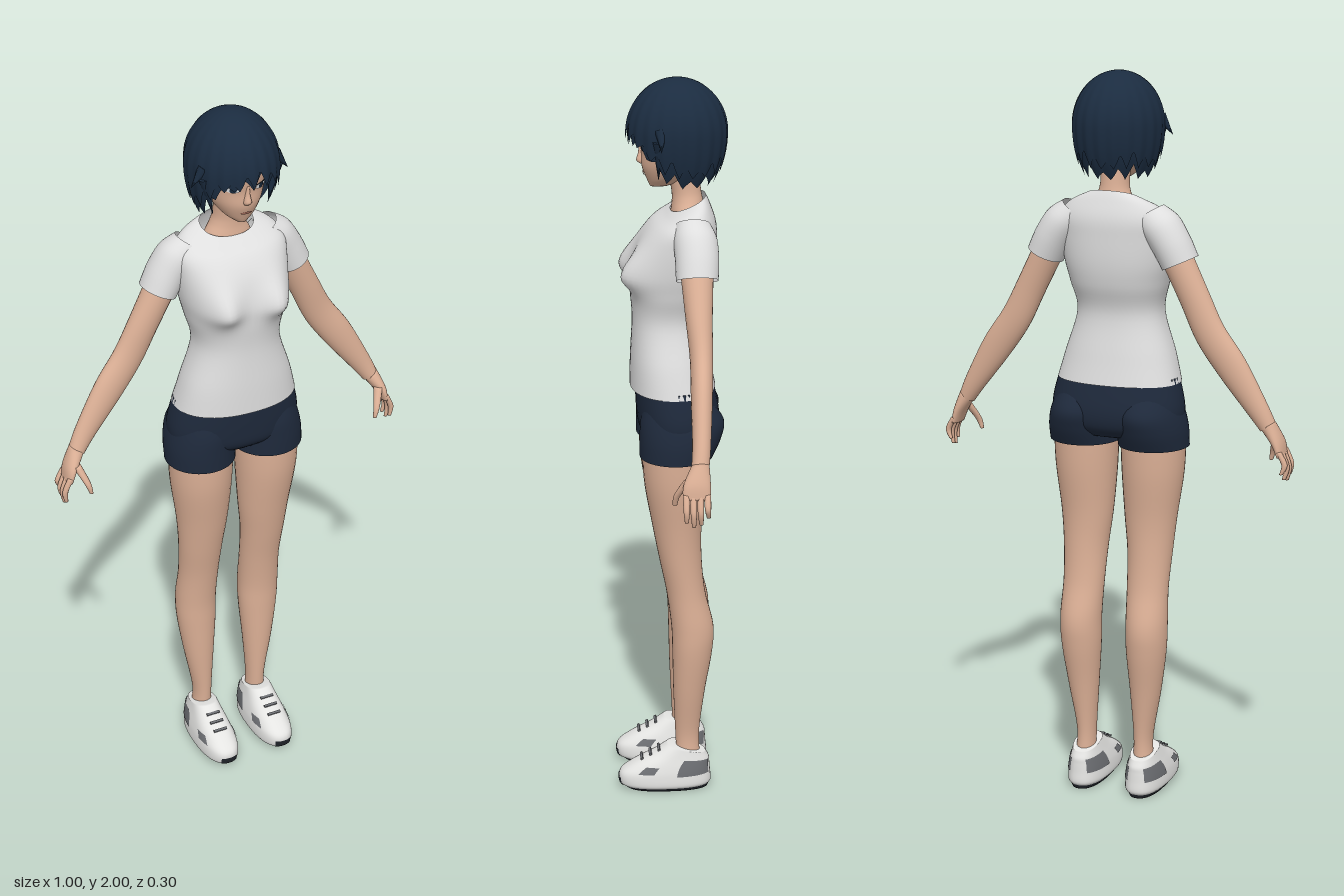
import * as THREE from 'three';

const paint = (color, side = THREE.DoubleSide, name = '') =>
  Object.assign(new THREE.MeshStandardMaterial({ color, side }), { name });
const skin = paint(0xdcb096, THREE.FrontSide, 'skin');
const hairNavy = paint(0x1b2c40, THREE.DoubleSide, 'hair navy');
const shortsNavy = paint(0x1e293b, THREE.DoubleSide, 'shorts navy');
const cotton = paint(0xdedede, THREE.DoubleSide, 'cotton white');
const shoeWhite = paint(0xe4e4e2, THREE.DoubleSide, 'shoe white');
const shoeGrey = paint(0x6c6e72, THREE.DoubleSide, 'shoe grey');
const rubber = paint(0x20242a, THREE.DoubleSide, 'sole rubber');
const eyeWhite = paint(0xe8eaec, THREE.DoubleSide, 'eye white');
const lipBrown = paint(0xb27664, THREE.DoubleSide, 'lip brown');

// Smooth grid surface: fn(u, v) gives a point, u runs round and v runs upwards
function grid(cols, rows, fn, wrap = true) {
  const pos = [], idx = [], w = wrap ? cols : cols + 1;
  for (let i = 0; i <= rows; i++)
    for (let j = 0; j < w; j++) pos.push(...fn(j / cols, i / rows, i));
  for (let i = 0; i < rows; i++)
    for (let j = 0; j < cols; j++) {
      const a = i * w + j, b = i * w + ((j + 1) % w), c = a + w, d = b + w;
      idx.push(a, b, d, a, d, c);
    }
  const g = new THREE.BufferGeometry();
  g.setAttribute('position', new THREE.Float32BufferAttribute(pos, 3));
  g.setIndex(idx);
  g.computeVertexNormals();
  return g;
}

// Ring: x, y, z, half width, front depth, back depth, x tilt, z tilt; rings run bottom to top
function sample(rings, t) {
  const f = Math.min(Math.max(t, 0), 1) * (rings.length - 1);
  const i = Math.min(Math.floor(f), rings.length - 2), k = f - i;
  const at = (n, c) => rings[Math.min(Math.max(n, 0), rings.length - 1)][c] ?? 0;
  return [0, 1, 2, 3, 4, 5, 6, 7].map((c) => {
    const p0 = at(i - 1, c), p1 = at(i, c), p2 = at(i + 1, c), p3 = at(i + 2, c);
    return p1 + 0.5 * k * (p2 - p0 + k * (2 * p0 - 5 * p1 + 4 * p2 - p3 + k * (3 * (p1 - p2) + p3 - p0)));
  });
}

function loft(rings, { cap = false, n = 2, a0 = 0, a1 = Math.PI * 2, t0 = 0, t1 = 1, grow = 0, sides = 32 } = {}) {
  const body = (rings.length - 1) * 6, rows = body + (cap ? 2 : 0);
  const pow = (v) => Math.sign(v) * Math.abs(v) ** (2 / n);
  return grid(sides, rows, (u, v, i) => {
    const t = (cap ? i - 1 : i) / body;
    const [x, y, z, rx, rf, rb, tx, tz] = sample(rings, t0 + (t1 - t0) * Math.min(Math.max(t, 0), 1));
    if (cap && (i === 0 || i === rows)) return [x, y, z];
    const a = a0 + (a1 - a0) * u, c = pow(Math.cos(a));
    const dx = pow(Math.sin(a)) * (rx + grow), dz = c * ((c > 0 ? rf : rb) + grow);
    return [x + dx, y + dx * tx + dz * tz, z + dz];
  }, a1 - a0 > 6.28);
}
const flip = (rings, s) => rings.map((r) => r.map((v, i) => (i === 0 || i === 6 ? v * s : v)));

const SHIRT = [
  [0, 1.175, -0.01, 0.172, 0.12, 0.11], [0, 1.25, 0, 0.152, 0.108, 0.105], [0, 1.36, 0, 0.119, 0.103, 0.088],
  [0, 1.44, -0.01, 0.134, 0.118, 0.1], [0, 1.5, -0.02, 0.147, 0.125, 0.1], [0, 1.57, -0.03, 0.154, 0.115, 0.092],
  [0, 1.62, -0.04, 0.153, 0.09, 0.08], [0, 1.655, -0.047, 0.122, 0.06, 0.058, 0, -0.2],
  [0, 1.675, -0.05, 0.073, 0.05, 0.042, 0, -0.45]];
const SLEEVE = [
  [0.193, 1.51, -0.058, 0.046, 0.055, 0.055, 0.45], [0.167, 1.56, -0.058, 0.047, 0.056, 0.058, 0.5],
  [0.135, 1.605, -0.055, 0.046, 0.055, 0.058, 0.6], [0.1, 1.635, -0.052, 0.04, 0.045, 0.046, 0.6]];
const ARM = [
  [0.44, 1.09, -0.05, 0.02, 0.023, 0.023, 0.6], [0.41, 1.14, -0.055, 0.025, 0.024, 0.024, 0.7],
  [0.34, 1.245, -0.06, 0.035, 0.028, 0.028, 0.7], [0.28, 1.33, -0.063, 0.036, 0.03, 0.03, 0.65],
  [0.235, 1.42, -0.06, 0.037, 0.035, 0.035, 0.5], [0.18, 1.53, -0.058, 0.038, 0.043, 0.043, 0.45]];
const PALM = [
  [0.476, 1.015, -0.038, 0.01, 0.034, 0.036, 0.3], [0.465, 1.05, -0.04, 0.015, 0.035, 0.035, 0.4],
  [0.44, 1.095, -0.05, 0.019, 0.023, 0.023, 0.6]];
const LEG = [
  [0.087, 0.1, -0.045, 0.028, 0.033, 0.033], [0.086, 0.17, -0.042, 0.027, 0.033, 0.034],
  [0.093, 0.3, -0.045, 0.043, 0.042, 0.046], [0.097, 0.42, -0.05, 0.056, 0.05, 0.06],
  [0.098, 0.5, -0.05, 0.058, 0.053, 0.063], [0.095, 0.6, -0.037, 0.058, 0.053, 0.053],
  [0.095, 0.7, -0.02, 0.063, 0.056, 0.06], [0.094, 0.8, -0.012, 0.073, 0.067, 0.068],
  [0.098, 0.93, -0.008, 0.086, 0.085, 0.085], [0.098, 1.05, -0.008, 0.09, 0.09, 0.09]];
const PELVIS = [
  [0, 1.03, -0.015, 0.12, 0.07, 0.085], [0, 1.06, -0.015, 0.175, 0.1, 0.11],
  [0, 1.11, -0.015, 0.186, 0.108, 0.115], [0, 1.19, -0.012, 0.168, 0.108, 0.1]];
const SHORT_LEG = [
  [0.1, 1.0, -0.008, 0.097, 0.096, 0.1], [0.1, 1.05, -0.012, 0.095, 0.1, 0.118],
  [0.095, 1.1, -0.015, 0.088, 0.1, 0.122], [0.09, 1.155, -0.01, 0.07, 0.08, 0.085]];
const SHOE = [
  [0.087, 0.008, 0.02, 0.046, 0.115, 0.12], [0.087, 0.02, 0.02, 0.056, 0.128, 0.129],
  [0.087, 0.05, 0.02, 0.055, 0.127, 0.127], [0.087, 0.075, 0.01, 0.05, 0.105, 0.115],
  [0.087, 0.1, -0.01, 0.043, 0.065, 0.093, 0, 0.1], [0.087, 0.125, -0.03, 0.036, 0.042, 0.063, 0, 0.25]];
const SOLE = [[0.087, 0, 0.015, 0.042, 0.11, 0.115], [0.087, 0.013, 0.02, 0.051, 0.122, 0.124]];
const HEAD = [
  [0, 1.716, 0.035, 0.014, 0.018, 0.03], [0, 1.735, 0.018, 0.04, 0.044, 0.06], [0, 1.77, -0.005, 0.066, 0.08, 0.07],
  [0, 1.81, -0.015, 0.081, 0.092, 0.085], [0, 1.86, -0.02, 0.092, 0.105, 0.1], [0, 1.92, -0.02, 0.085, 0.095, 0.095],
  [0, 1.965, -0.02, 0.04, 0.045, 0.045]];
const NECK = [
  [0, 1.6, -0.05, 0.085, 0.055, 0.05], [0, 1.65, -0.047, 0.062, 0.046, 0.042], [0, 1.68, -0.045, 0.046, 0.041, 0.04],
  [0, 1.71, -0.04, 0.039, 0.038, 0.04], [0, 1.77, -0.03, 0.04, 0.04, 0.045]];

// Thin painted oval that follows the face
function faceOval(x, y, rx, ry, lift, tilt = 0) {
  const g = new THREE.CircleGeometry(1, 20), p = g.attributes.position;
  for (let i = 0; i < p.count; i++) {
    const px = x + p.getX(i) * rx, py = y + p.getY(i) * ry + p.getX(i) * tilt;
    let t = 0;
    while (t < 1 && sample(HEAD, t)[1] < py) t += 0.004;
    const h = sample(HEAD, t);
    p.setXYZ(i, px, py, h[2] + h[4] * Math.sqrt(Math.max(0, 1 - (px / h[3]) ** 2)) + lift);
  }
  g.computeVertexNormals();
  return g;
}

// Hair layer with a jagged hem: short fringe, longer sides and nape
function hairLayer(scale, spikes, fringe, nape, depth) {
  return grid(180, 22, (u, v) => {
    const a = (u > 0.5 ? u - 1 : u) * Math.PI * 2, side = Math.abs(a);
    const tip = Math.abs(((u * spikes + 0.5) % 1) - 0.5) * 2;
    const hem = THREE.MathUtils.lerp(fringe, nape, THREE.MathUtils.smoothstep(side, 0.5, 1.5))
      + depth * tip * (1 + 0.4 * Math.sin(a * 5 + 1));
    const c = (hem - 1.86) / (hem > 1.86 ? 0.14 : 0.2);
    const phi = (1 - v) * Math.acos(Math.max(-1, c)), up = Math.cos(phi);
    const r = Math.sin(phi) * scale * (1 + 0.035 * (0.5 - tip) * (1 - v));
    return [0.12 * r * Math.sin(a), 1.86 + up * (up > 0 ? 0.14 * scale : 0.2), -0.017 + 0.132 * r * Math.cos(a)];
  });
}

export function createModel() {
  const model = new THREE.Group();
  model.name = 'figure';
  const add = (name, geometry, material) => {
    const m = new THREE.Mesh(geometry, material);
    m.name = name;
    model.add(m);
    return m;
  };

  // Shirt, with the bust raised from the front
  const shirt = loft(SHIRT, { n: 2.25, sides: 64 }), p = shirt.attributes.position;
  for (let i = 0; i < p.count; i++) {
    const x = p.getX(i), y = p.getY(i), z = p.getZ(i);
    if (z < 0) continue;
    const dx = (Math.abs(x) - 0.08) / 0.045, dy = (y - 1.49) / (y < 1.49 ? 0.04 : 0.065);
    p.setZ(i, z + 0.042 * Math.exp(-dx * dx - dy * dy) * Math.min(1, z / 0.05));
  }
  shirt.computeVertexNormals();
  add('shirt', shirt, cotton);
  add('shortsWaist', loft(PELVIS, { cap: true, n: 2.2, sides: 48 }), shortsNavy);

  // Head, neck and face
  add('neck', loft(NECK), skin);
  add('head', loft(HEAD, { cap: true, sides: 40 }), skin);
  add('nose', loft([[0, 1.776, 0.072, 0.009, 0.008, 0.01], [0, 1.785, 0.073, 0.011, 0.016, 0.01],
    [0, 1.805, 0.074, 0.007, 0.01, 0.01], [0, 1.83, 0.076, 0.004, 0.006, 0.01]], { cap: true, sides: 14 }), skin);
  add('mouth', faceOval(0, 1.751, 0.017, 0.004, 0.003), lipBrown);

  // Hair layers
  add('hairUnder', hairLayer(0.96, 15, 1.832, 1.725, 0.03), hairNavy);
  add('hairOver', hairLayer(1, 20, 1.835, 1.755, 0.035), hairNavy);

  for (const s of [1, -1]) {
    const side = s > 0 ? 'left' : 'right';
    const part = (name, rings, mat, o) => add(side + name, loft(flip(rings, s), o), mat);

    // Eyes
    add(side + 'Eye', faceOval(s * 0.04, 1.823, 0.018, 0.009, 0.003, s * 0.002), eyeWhite);
    add(side + 'Iris', faceOval(s * 0.039, 1.823, 0.008, 0.009, 0.005), hairNavy);
    add(side + 'Lash', faceOval(s * 0.041, 1.833, 0.021, 0.003, 0.006, s * 0.002), rubber);

    // Hair flick and cheek lock
    const flick = add(side + 'HairFlick', new THREE.ConeGeometry(0.016, 0.06, 8), hairNavy);
    flick.position.set(s * 0.118, 1.855, 0.03);
    flick.rotation.z = -s * 2.5;
    const lock = add(side + 'CheekLock', new THREE.ConeGeometry(0.018, 0.11, 8), hairNavy);
    lock.position.set(s * 0.088, 1.8, 0.035);
    lock.rotation.z = Math.PI - s * 0.2;

    // Arm and hand
    part('Sleeve', SLEEVE, cotton);
    part('Arm', ARM, skin, { sides: 24 });
    part('Palm', PALM, skin, { cap: true, sides: 24 });
    for (let f = 0; f < 4; f++) {
      const z = -0.012 - f * 0.018, len = [0.062, 0.075, 0.07, 0.052][f];
      part('Finger', [
        [0.49 - f * 0.002, 1.022 - len, z * 1.04, 0.005, 0.005, 0.005], [0.492, 1.022 - len * 0.5, z, 0.008, 0.008, 0.008],
        [0.474, 1.03, z, 0.009, 0.009, 0.009]], skin, { cap: true, sides: 10 });
    }
    part('Thumb', [
      [0.428, 0.985, 0.014, 0.005, 0.006, 0.006], [0.436, 1.015, 0.008, 0.009, 0.009, 0.009],
      [0.454, 1.06, -0.02, 0.012, 0.014, 0.014]], skin, { cap: true, sides: 12 });

    // Leg and shorts leg
    part('Leg', LEG, skin);
    part('ShortsLeg', SHORT_LEG, shortsNavy, { sides: 40 });

    // Shoe with sole, toe guard, grey panels and laces
    part('Shoe', SHOE, shoeWhite, { cap: true, n: 2.4, sides: 40 });
    part('Sole', SOLE, rubber, { cap: true, n: 2.4, sides: 40 });
    part('ToeGuard', SHOE, rubber, { n: 2.4, a0: -0.35, a1: 0.35, t0: 0.08, t1: 0.32, grow: 0.002, sides: 10 });
    for (const k of [1, -1]) {
      const a = [1.75, 2.75].map((v) => v * k).sort((m, n) => m - n);
      part('HeelPanel', SHOE, shoeGrey, { n: 2.4, a0: a[0], a1: a[1], t0: 0.4, t1: 0.78, grow: 0.002, sides: 12 });
      const b = [0.95, 1.35].map((v) => v * k).sort((m, n) => m - n);
      part('SidePanel', SHOE, shoeGrey, { n: 2.4, a0: b[0], a1: b[1], t0: 0.46, t1: 0.62, grow: 0.002, sides: 8 });
    }
    for (let i = 0; i < 3; i++) {
      const lace = add(side + 'Lace', new THREE.BoxGeometry(0.04, 0.005, 0.007), shoeGrey);
      lace.position.set(s * 0.087, 0.093 + i * 0.013, 0.086 - i * 0.024);
      lace.rotation.x = 0.5;
    }
  }
  return model;
}
